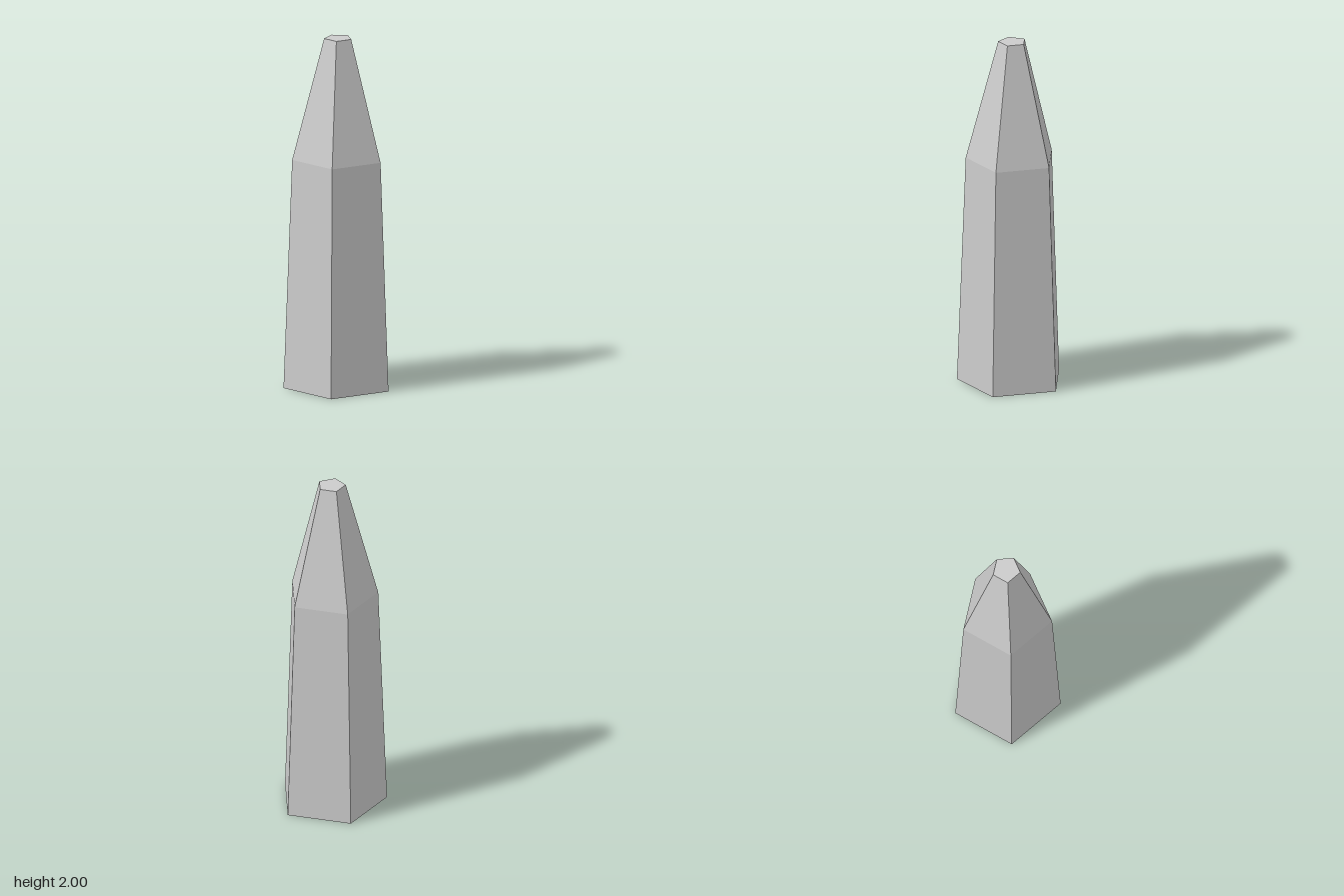
import * as THREE from 'three';

export function createModel() {
  const group = new THREE.Group();
  group.name = 'pentagonalSpike';

  // Profile from base centre to tip centre: [radius, height]
  const profile = [[0, 0], [0.31, 0], [0.261, 1.31], [0.08, 2], [0, 2]]
    .map(([r, y]) => new THREE.Vector2(r, y));

  // Five-sided tapered shaft with one corner pointing to the back
  const geometry = new THREE.LatheGeometry(profile, 5, Math.PI).toNonIndexed();
  geometry.computeVertexNormals();
  geometry.translate(0, 0, 0.029); // centre the pentagon's depth

  const material = new THREE.MeshStandardMaterial({ color: 0xcccccc, flatShading: true });
  const shaft = new THREE.Mesh(geometry, material);
  shaft.name = 'taperedShaft';
  group.add(shaft);

  return group;
}
